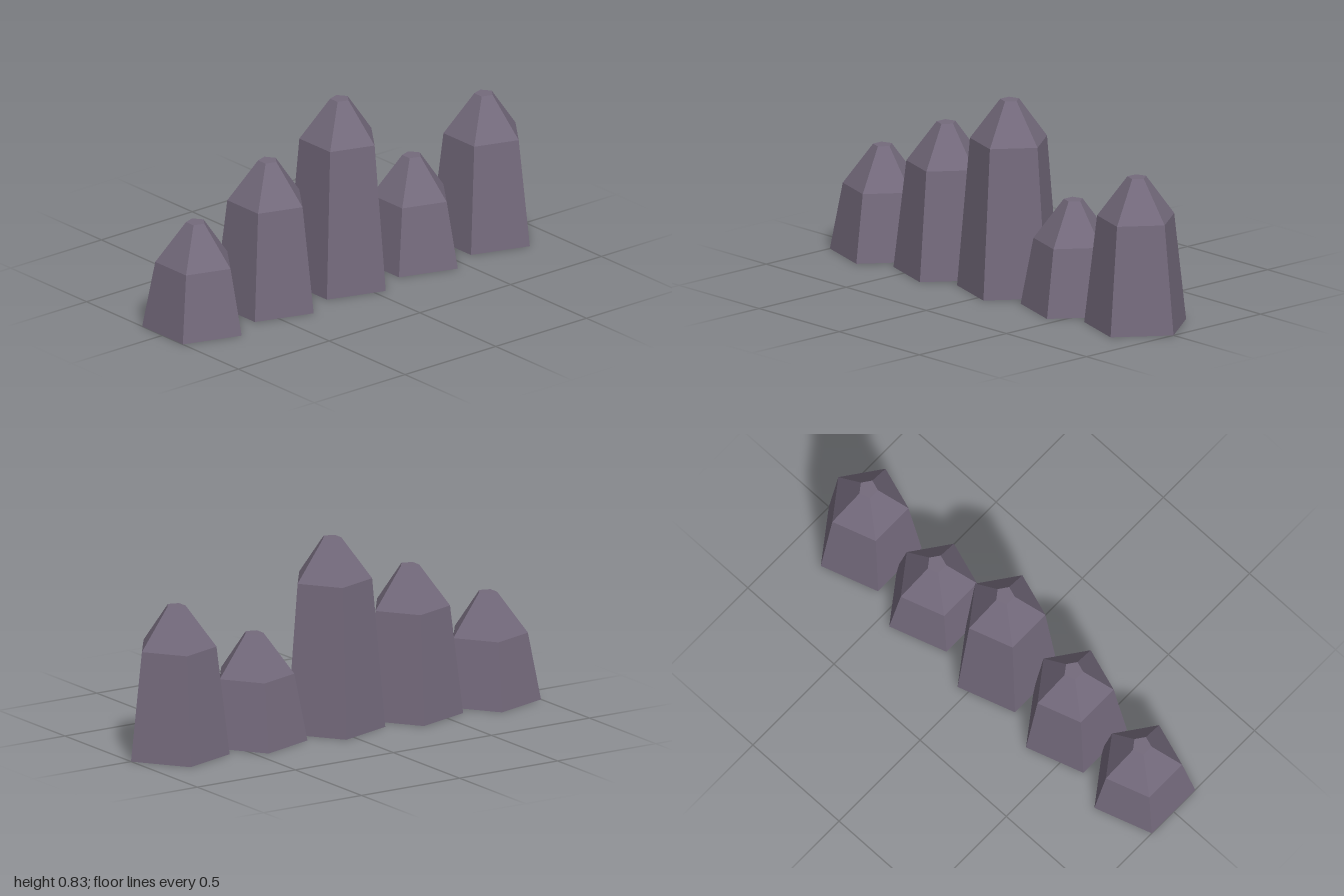
import * as THREE from 'three';

const SIDES = 5;
const BASE_R = 0.228, SHOULDER_R = 0.1725, TIP_R = 0.042;
const CAP_HEIGHT = 0.178;

// Tapered five-sided section with one corner pointing to +x
function section(name, topR, bottomR, y, height, material, open) {
  const geometry = new THREE.CylinderGeometry(
    topR, bottomR, height, SIDES, 1, open, Math.PI / 2).toNonIndexed();
  geometry.computeVertexNormals();
  const mesh = new THREE.Mesh(geometry, material);
  mesh.name = name;
  mesh.position.y = y + height / 2;
  return mesh;
}

export function createModel() {
  const stone = new THREE.MeshStandardMaterial({ color: 0x746a7c });
  stone.name = 'purpleGreyStone';

  const model = new THREE.Group();
  model.name = 'stoneSpikeRow';

  // Shoulder height of each pillar, from right to left
  const shoulders = [0.292, 0.471, 0.65, 0.292, 0.471];
  shoulders.forEach((height, i) => {
    const pillar = new THREE.Group();
    pillar.name = `pillar${i + 1}`;
    pillar.position.x = -0.8155 + i * 0.397;
    pillar.add(
      section('shaft', SHOULDER_R, BASE_R, 0, height, stone, false),
      section('cap', TIP_R, SHOULDER_R, height, CAP_HEIGHT, stone, false),
    );
    model.add(pillar);
  });

  return model;
}
